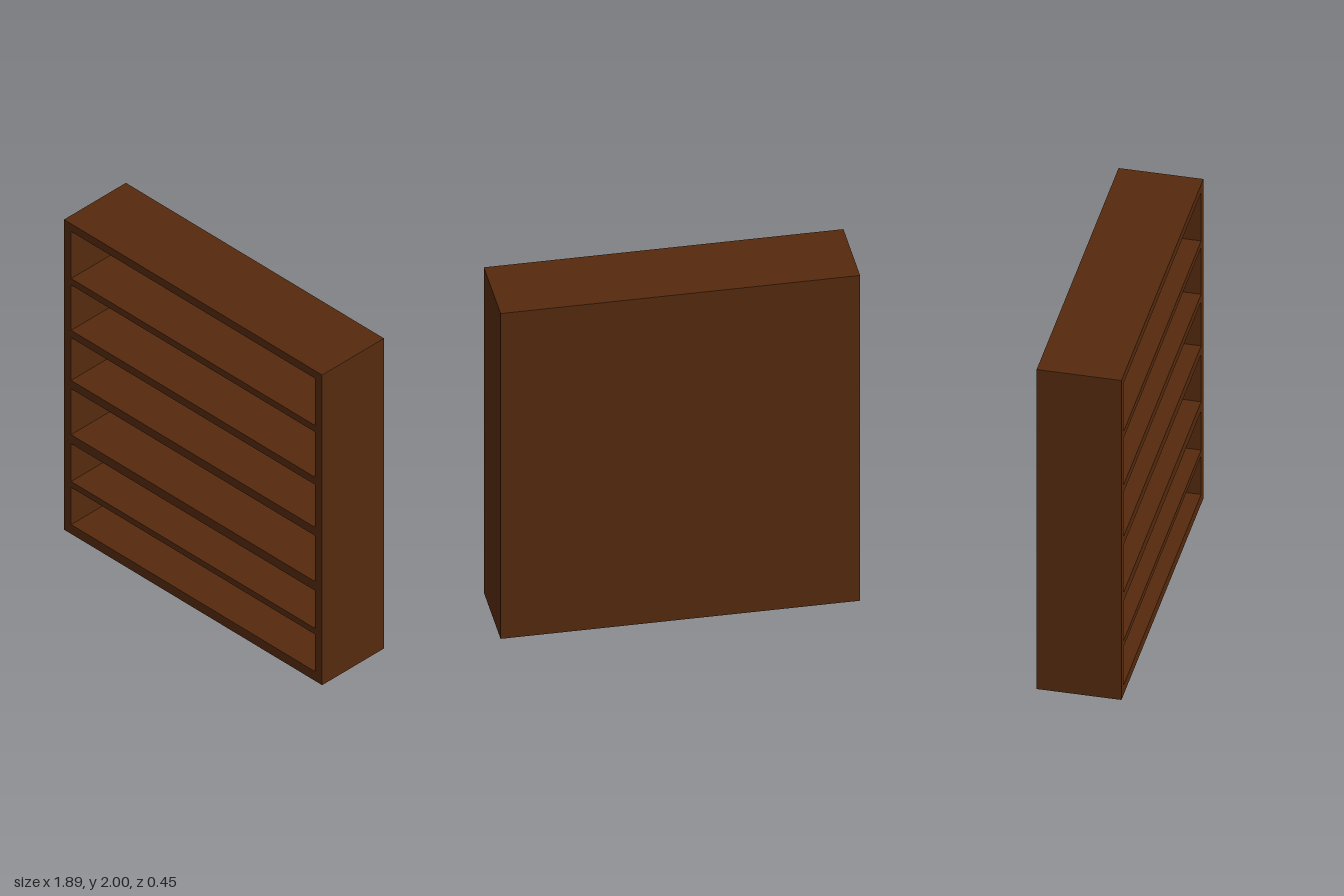
import * as THREE from 'three';

const HALF_W = 0.947, HEIGHT = 2, DEPTH = 0.45, BACK = 0.04, INNER = 0.895;

// Bottom and top height of each compartment
const BAYS = [
  [0.06, 0.3], [0.338, 0.582], [0.64, 0.936],
  [0.99, 1.265], [1.313, 1.605], [1.647, 1.95],
];

// Traces a rectangle spanning -halfW..halfW and y0..y1
function rect(path, halfW, y0, y1) {
  path.moveTo(-halfW, y0);
  path.lineTo(halfW, y0);
  path.lineTo(halfW, y1);
  path.lineTo(-halfW, y1);
  path.closePath();
  return path;
}

export function createModel() {
  const group = new THREE.Group();
  group.name = 'bookcase';
  const wood = new THREE.MeshStandardMaterial({ color: 0x552a0e });

  // Sides, top, plinth and shelves as one pierced frame
  const outline = rect(new THREE.Shape(), HALF_W, 0, HEIGHT);
  for (const [y0, y1] of BAYS) outline.holes.push(rect(new THREE.Path(), INNER, y0, y1));
  const frame = new THREE.Mesh(
    new THREE.ExtrudeGeometry(outline, { depth: DEPTH - BACK, bevelEnabled: false }), wood);
  frame.name = 'shelfFrame';
  frame.position.z = -DEPTH / 2 + BACK;
  group.add(frame);

  // Back panel closing the compartments
  const back = new THREE.Mesh(new THREE.BoxGeometry(HALF_W * 2, HEIGHT, BACK), wood);
  back.name = 'backPanel';
  back.position.set(0, HEIGHT / 2, -DEPTH / 2 + BACK / 2);
  group.add(back);

  return group;
}
